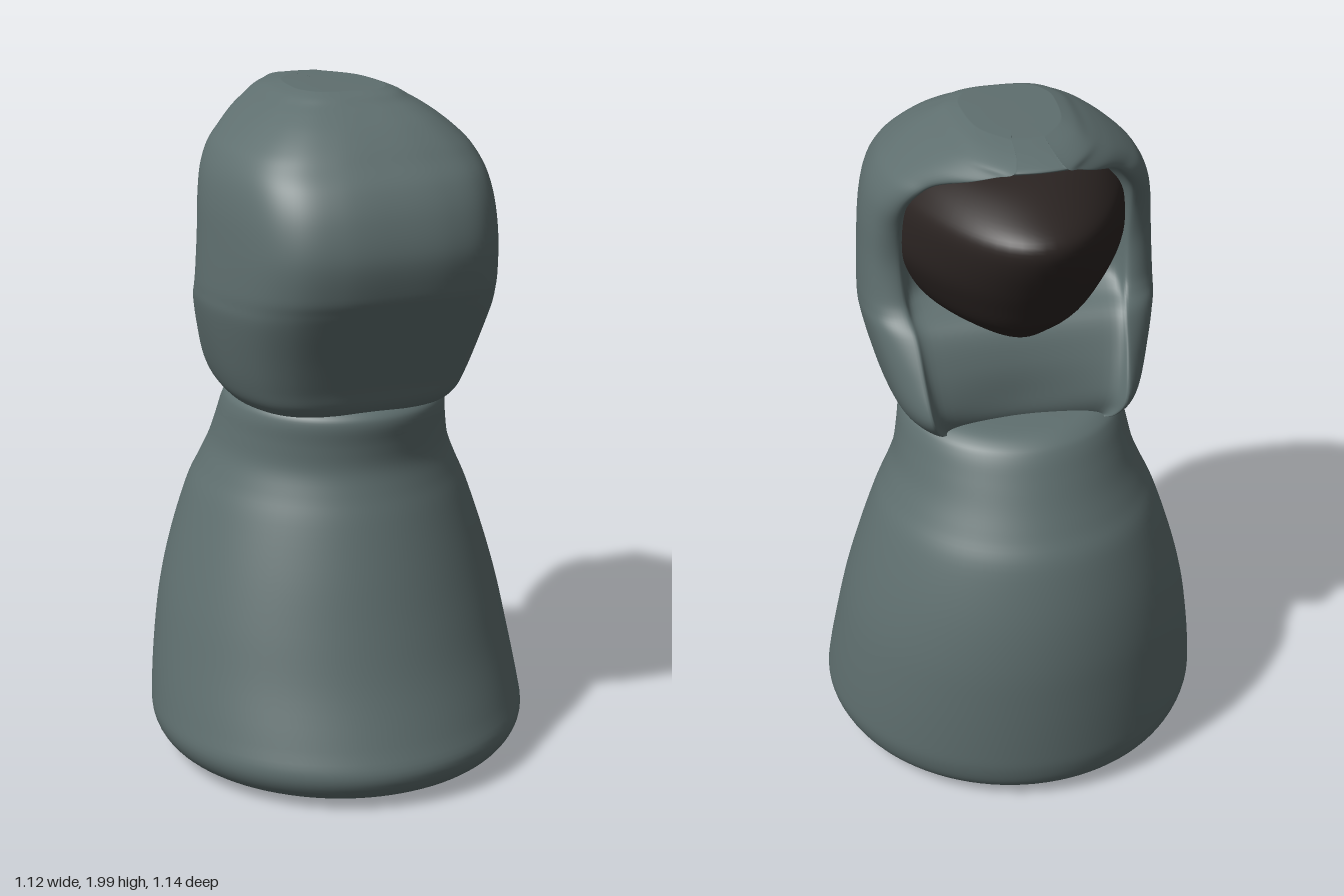
import * as THREE from 'three';

const cloth = new THREE.MeshStandardMaterial({ color: 0x5f6f6f, side: THREE.DoubleSide });
const shadow = new THREE.MeshStandardMaterial({ color: 0x2b2422 });

// Smooth curve through rows of numbers, t from 0 to 1
function spline(rows, t, closed = false) {
  const n = rows.length;
  const u = t * (closed ? n : n - 1);
  const i = closed ? Math.floor(u) : Math.min(Math.floor(u), n - 2);
  const f = u - i;
  const at = (k) => rows[closed ? (k + n) % n : THREE.MathUtils.clamp(k, 0, n - 1)];
  const [a, b, c, d] = [at(i - 1), at(i), at(i + 1), at(i + 2)];
  return b.map((_, k) => {
    const m0 = (c[k] - a[k]) / 2, m1 = (d[k] - b[k]) / 2, e = b[k] - c[k];
    return b[k] + f * (m0 + f * (-3 * e - 2 * m0 - m1 + f * (2 * e + m0 + m1)));
  });
}

// Skin of horizontal rings: section(row, u) gives [x, z], row[0] is the height
function loft(name, rows, section, material, levels = 80, around = 96) {
  const pos = [], index = [];
  const ends = [];
  for (let i = 0; i <= levels; i++) {
    const row = spline(rows, i / levels);
    let cz = 0;
    for (let j = 0; j < around; j++) {
      const [x, z] = section(row, j / around);
      pos.push(x, row[0], z);
      cz += z / around;
    }
    if (i === 0 || i === levels) ends.push([0, row[0], cz]);
  }
  const base = pos.length / 3;
  pos.push(...ends[0], ...ends[1]);
  for (let j = 0; j < around; j++) {
    const k = (j + 1) % around;
    for (let i = 0; i < levels; i++) {
      const a = i * around + j, b = i * around + k;
      index.push(a, b, a + around, b, b + around, a + around);
    }
    index.push(base, k, j, base + 1, levels * around + j, levels * around + k);
  }
  const geo = new THREE.BufferGeometry();
  geo.setAttribute('position', new THREE.Float32BufferAttribute(pos, 3));
  geo.setIndex(index);
  geo.computeVertexNormals();
  const mesh = new THREE.Mesh(geo, material);
  mesh.name = name;
  return mesh;
}

// Robe: height, +z extent, -z extent, half width
const robeRows = [
  [0.01, 0.3, -0.3, 0.3], [0.012, 0.4, -0.4, 0.39], [0.03, 0.495, -0.485, 0.47], [0.06, 0.545, -0.53, 0.525],
  [0.12, 0.57, -0.552, 0.557], [0.2, 0.542, -0.56, 0.555], [0.35, 0.485, -0.566, 0.535],
  [0.5, 0.44, -0.565, 0.508], [0.65, 0.397, -0.547, 0.468], [0.8, 0.35, -0.508, 0.418],
  [0.88, 0.322, -0.467, 0.382], [0.95, 0.304, -0.43, 0.353], [1.02, 0.307, -0.395, 0.337],
  [1.08, 0.315, -0.363, 0.326], [1.11, 0.305, -0.335, 0.312], [1.13, 0.27, -0.285, 0.275], [1.135, 0.2, -0.2, 0.2],
];
function robeSection([, front, back, w], u) {
  const a = u * Math.PI * 2;
  return [w * Math.sin(a), (front + back) / 2 + (front - back) / 2 * Math.cos(a)];
}

// Hood: height, +z extent, half width, lip x, lip z, recess z
const hoodRows = [
  [1.12, 0.2, 0.2, 0.15, -0.15, -0.12], [1.11, 0.27, 0.29, 0.23, -0.22, -0.18],
  [1.14, 0.31, 0.335, 0.265, -0.26, -0.2], [1.2, 0.335, 0.365, 0.285, -0.285, -0.2],
  [1.3, 0.38, 0.395, 0.3, -0.24, -0.19], [1.4, 0.43, 0.418, 0.31, -0.18, -0.15],
  [1.45, 0.455, 0.421, 0.32, -0.13, -0.06], [1.5, 0.475, 0.42, 0.325, -0.105, 0],
  [1.6, 0.49, 0.415, 0.33, -0.09, 0], [1.7, 0.47, 0.408, 0.33, -0.105, 0],
  [1.78, 0.43, 0.392, 0.32, -0.14, 0], [1.84, 0.375, 0.363, 0.29, -0.18, -0.03],
  [1.88, 0.335, 0.325, 0.25, -0.215, -0.12], [1.92, 0.285, 0.275, 0.18, -0.29, -0.27],
  [1.95, 0.235, 0.23, 0.12, -0.335, -0.345], [1.97, 0.195, 0.195, 0.08, -0.365, -0.383],
  [1.988, 0.165, 0.165, 0.06, -0.31, -0.325], [2.0, 0.13, 0.13, 0.05, -0.22, -0.23],
];
function hoodSection([, front, w, lipX, lipZ, recess], u) {
  const half = [
    [0.38 * w, 0.98 * front], [0.68 * w, 0.88 * front], [0.88 * w, 0.64 * front], [w, 0.17 * front],
    [lipX + 0.8 * (w - lipX), 0.58 * lipZ], [lipX, lipZ], [0.82 * lipX, lipZ + 0.6 * (recess - lipZ)],
  ];
  const mirrored = half.map(([x, z]) => [-x, z]).reverse();
  return spline([[0, front], ...half, [0, recess], ...mirrored], u, true);
}

// Shadowed face: height, reach towards -z, half width
const faceRows = [
  [1.375, 0.15, 0.05], [1.385, 0.2, 0.13], [1.42, 0.25, 0.2], [1.47, 0.31, 0.26], [1.55, 0.36, 0.31],
  [1.62, 0.4, 0.335], [1.7, 0.44, 0.335], [1.76, 0.455, 0.325], [1.8, 0.43, 0.3],
  [1.84, 0.35, 0.26], [1.87, 0.26, 0.2], [1.885, 0.17, 0.1],
];
function faceSection([, reach, w], u) {
  const a = u * Math.PI * 2, c = Math.cos(a);
  return [w * Math.sin(a), c > 0 ? 0.1 * c : -reach * Math.pow(-c, 1.6)];
}

export function createModel() {
  const model = new THREE.Group();
  model.name = 'hoodedFigure';
  model.add(
    loft('robe', robeRows, robeSection, cloth),
    loft('hood', hoodRows, hoodSection, cloth, 102, 128),
    loft('face', faceRows, faceSection, shadow, 48, 64),
  );
  return model;
}
